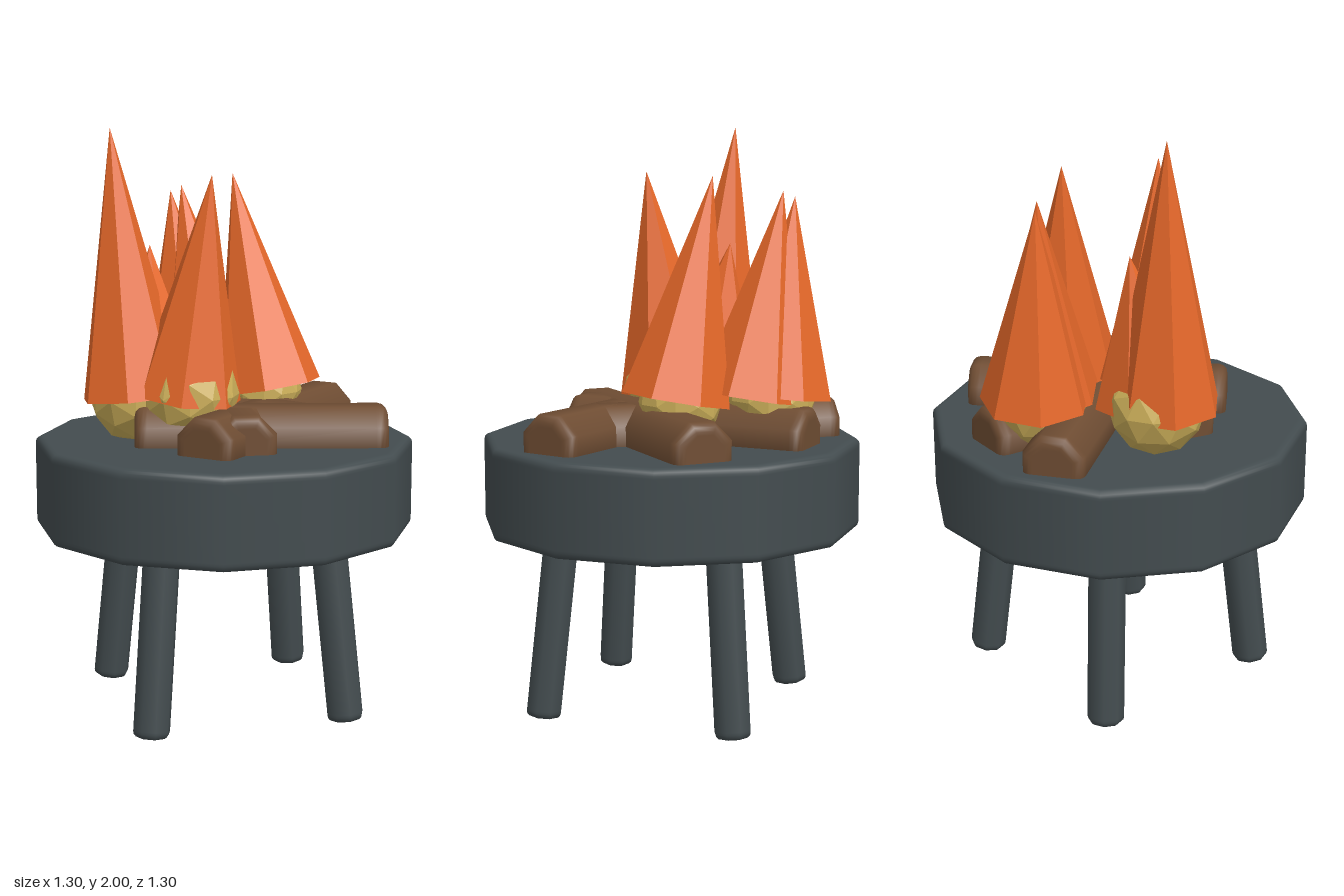
import * as THREE from 'three';

const mat = (color, flat = false) => new THREE.MeshStandardMaterial({ color, flatShading: flat });
const iron = mat(0x434c4f);
const wood = mat(0x6f4d33);
const fire = mat(0xe8692a, true);
const ember = mat(0xcdb05a, true);
const UP = new THREE.Vector3(0, 1, 0);

// Closed prism along y from 0 to h, with rounded rims and smooth sides
function roundedPrism(r, h, sides, bevel) {
  const pts = [new THREE.Vector2(0, 0), new THREE.Vector2(r - bevel * 1.4, 0)];
  for (let i = 0; i <= 3; i++) {
    const a = (i / 3) * Math.PI / 2;
    pts.push(new THREE.Vector2(r - bevel + bevel * Math.sin(a), bevel - bevel * Math.cos(a)));
  }
  pts.push(new THREE.Vector2(r, bevel * 1.4));
  const top = pts.map(p => new THREE.Vector2(p.x, h - p.y)).reverse();
  return new THREE.LatheGeometry([...pts, ...top], sides);
}

export function createModel() {
  const model = new THREE.Group();
  const add = (name, geometry, material, x, y, z) => {
    const mesh = new THREE.Mesh(geometry, material);
    mesh.name = name;
    mesh.position.set(x, y, z);
    model.add(mesh);
    return mesh;
  };

  // Twelve-sided fire bowl
  add('bowl', roundedPrism(0.652, 0.315, 12, 0.022), iron, 0, 0.632, 0);

  // Four splayed legs
  const legGeo = roundedPrism(0.063, 0.68, 8, 0.02);
  for (let i = 0; i < 4; i++) {
    const a = i * Math.PI / 2, s = Math.sin(a), c = Math.cos(a);
    const leg = add('leg', legGeo, iron, 0.482 * s, 0.006, 0.482 * c);
    leg.quaternion.setFromUnitVectors(UP, new THREE.Vector3(-0.118 * s, 1, -0.118 * c).normalize());
    leg.rotateY(a);
  }

  // Logs lying on the bowl: [x, z] of both ends
  const logs = [
    [0.13, 0.37, 0.13, -0.535],
    [0.535, -0.18, -0.2, 0.255],
    [-0.325, -0.415, 0.24, 0.26],
    [-0.545, -0.165, 0.31, -0.03],
  ];
  for (const [x1, z1, x2, z2] of logs) {
    const dx = x2 - x1, dz = z2 - z1;
    const geo = roundedPrism(0.113, Math.hypot(dx, dz), 8, 0.03).rotateY(Math.PI / 8).rotateX(Math.PI / 2);
    add('log', geo, wood, x1, 0.971, z1).rotation.y = Math.atan2(dx, dz);
  }

  // Leaning seven-sided flames: base x, y, z, tip x, y, z, twist
  const flames = [
    [-0.25, 1.09, 0.18, -0.34, 2.0, 0.18, -0.44],
    [-0.07, 1.1, 0.13, 0.03, 1.85, 0.13, Math.PI],
    [0.07, 1.1, -0.19, -0.07, 1.84, -0.18, Math.PI],
    [-0.28, 1.1, -0.25, -0.355, 1.77, -0.23, Math.PI],
    [-0.19, 1.1, -0.23, -0.31, 1.79, -0.23, Math.PI],
    [-0.21, 1.1, 0.12, -0.26, 1.6, 0.06, -2.77],
  ];
  for (const [x, y, z, tx, ty, tz, twist] of flames) {
    const axis = new THREE.Vector3(tx - x, ty - y, tz - z);
    const h = axis.length();
    const geo = new THREE.ConeGeometry(0.186, h, 7).translate(0, h / 2, 0).rotateY(twist);
    add('flame', geo, fire, x, y, z).quaternion.setFromUnitVectors(UP, axis.normalize());
  }

  // Faceted embers under the flames: x, y, z, radius
  const embers = [
    [-0.26, 1.09, 0.15, 0.165],
    [-0.06, 1.11, 0.13, 0.17],
    [0.05, 1.09, -0.18, 0.14],
    [-0.27, 1.09, -0.23, 0.15],
  ];
  for (const [x, y, z, r] of embers) {
    add('ember', new THREE.IcosahedronGeometry(r, 1), ember, x, y, z);
  }

  return model;
}
